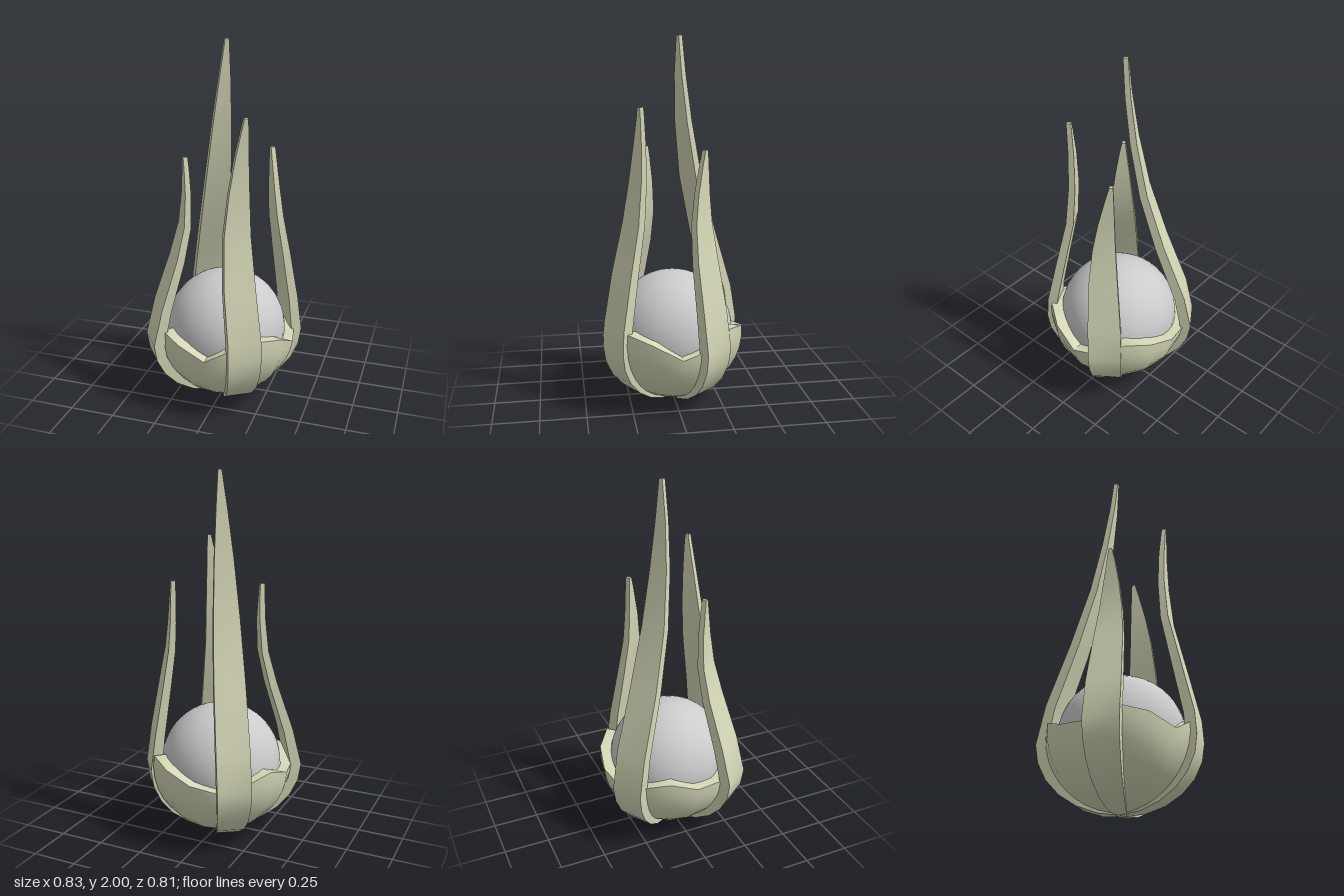
import * as THREE from 'three';
import { toCreasedNormals } from 'three/addons/utils/BufferGeometryUtils.js';

const shellMaterial = new THREE.MeshStandardMaterial({ color: 0xd6d8b8 });
const orbMaterial = new THREE.MeshStandardMaterial({ color: 0xcccccc });

// Skins a row of equal-sized cross-section loops; closed joins the last to the first.
function loft(rings, closed) {
  const n = rings[0].length, count = rings.length, index = [];
  for (let i = 0; i < (closed ? count : count - 1); i++) {
    const k = (i + 1) % count;
    for (let j = 0; j < n; j++) {
      const m = (j + 1) % n;
      const a = i * n + j, b = i * n + m, c = k * n + m, d = k * n + j;
      index.push(a, b, c, a, c, d);
    }
  }
  if (!closed) {
    const e = (count - 1) * n;
    for (let j = 1; j < n - 1; j++) index.push(0, j + 1, j, e, e + j, e + j + 1);
  }
  const g = new THREE.BufferGeometry();
  g.setAttribute('position', new THREE.Float32BufferAttribute(rings.flat(2), 3));
  g.setIndex(index);
  return toCreasedNormals(g, 0.8);
}

// A prong: quarter arc under the orb, then a tapering strap through [radius, height, sideways shift].
function prongGeometry(path) {
  const [reach, bulge, shift] = path[0];
  const tip = path[path.length - 1][1];
  const stations = [];
  for (let i = 0; i < 6; i++) {
    const a = (i / 6) * Math.PI / 2, f = Math.sin(a);
    stations.push({ r: f * reach, y: bulge * (1 - Math.cos(a)), s: f * shift,
      w: 0.025 + 0.065 * f ** 0.8, t: 0.035 + 0.025 * f });
  }
  for (const [r, y, s] of path) {
    const u = (y - bulge) / (tip - bulge);
    stations.push({ r, y, s, w: 0.01 + 0.081 * (1 - u ** 2.2), t: 0.06 - 0.035 * u });
  }
  const rings = stations.map(({ r, y, s, w, t }, i) => {
    const p = stations[Math.max(i - 1, 0)], q = stations[Math.min(i + 1, stations.length - 1)];
    const dz = q.r - p.r, dy = i === 0 ? 0 : q.y - p.y;
    const len = Math.hypot(dz, dy);
    const ri = r - (dy / len) * t, yi = y + (dz / len) * t;
    return [[s - w, y, r], [s + w, y, r], [s + w, yi, ri], [s - w, yi, ri]];
  });
  return loft(rings, false);
}

// Thick round bowl; its rim is high at the prongs and low between them
function cupGeometry() {
  const rim = [0.36, 0.44, 0.465, 0.43, 0.35, 0.39, 0.47, 0.44, 0.39, 0.36, 0.4, 0.44, 0.39, 0.38, 0.45, 0.42];
  const centreY = 0.405, steps = 10;
  const rings = rim.map((rimY, i) => {
    const a = (i / rim.length) * Math.PI * 2;
    const point = (R, f) => {
      const phi = Math.acos((centreY - rimY) / R) * f;
      const r = R * Math.sin(phi);
      return [r * Math.sin(a), centreY - R * Math.cos(phi), r * Math.cos(a)];
    };
    const ring = [];
    for (let s = steps; s >= 0; s--) ring.push(point(0.397, s / steps));
    for (let s = 0; s <= steps; s++) ring.push(point(0.332, s / steps));
    return ring;
  });
  return loft(rings, true);
}

export function createModel() {
  const model = new THREE.Group();
  model.name = 'orbInProngedCup';
  const add = (name, geometry, material) => {
    const mesh = new THREE.Mesh(geometry, material);
    mesh.name = name;
    model.add(mesh);
    return mesh;
  };
  const addProng = (name, heading, path) => {
    add(name, prongGeometry(path), shellMaterial).rotation.y = THREE.MathUtils.degToRad(heading);
  };

  // Orb resting in the cup
  add('orb', new THREE.SphereGeometry(0.336, 40, 28), orbMaterial).position.y = 0.389;

  // Cup
  add('cup', cupGeometry(), shellMaterial);

  // Four curved prongs of different heights, headings in degrees from the front
  addProng('frontProng', 31.4, [[0.412, 0.36, 0], [0.405, 0.48, 0], [0.345, 0.75, -0.01],
    [0.28, 1.03, -0.008], [0.258, 1.25, 0.006], [0.252, 1.45, 0.022], [0.255, 1.6, 0.037], [0.257, 1.64, 0.04]]);
  addProng('leftProng', 127.7, [[0.405, 0.37, -0.06], [0.375, 0.58, -0.062], [0.325, 0.85, -0.067],
    [0.29, 1.05, -0.062], [0.278, 1.2, -0.05], [0.272, 1.36, -0.032], [0.27, 1.425, -0.024]]);
  addProng('backProng', 212.3, [[0.433, 0.37, 0.016], [0.387, 0.58, 0.014], [0.262, 0.92, 0.012],
    [0.16, 1.25, 0.009], [0.1, 1.55, 0.003], [0.066, 1.8, -0.005], [0.05, 2, -0.013]]);
  addProng('rightProng', 305.9, [[0.444, 0.37, -0.003], [0.392, 0.58, -0.004], [0.3, 0.85, -0.004],
    [0.252, 1.03, -0.004], [0.237, 1.2, -0.006], [0.235, 1.34, -0.009], [0.236, 1.4, -0.012]]);
  return model;
}
